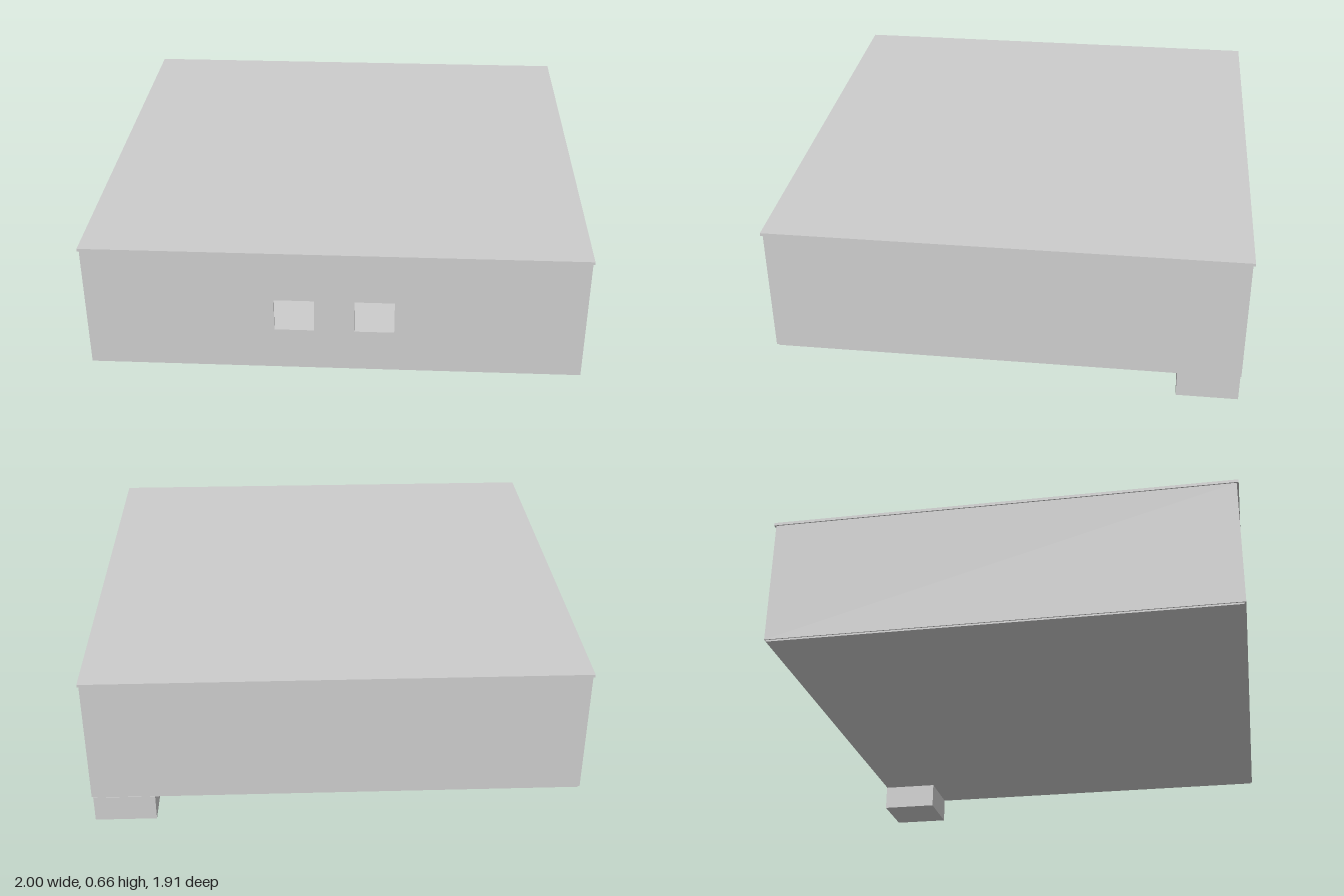
import * as THREE from 'three';

export function createModel() {
  const model = new THREE.Group();
  const mat = new THREE.MeshStandardMaterial({ color: 0xcccccc, flatShading: true });
  const add = (name, geometry) => {
    const mesh = new THREE.Mesh(geometry, mat);
    mesh.name = name;
    model.add(mesh);
    return mesh;
  };
  // box given by its minimum and maximum corners
  const block = (name, [x0, y0, z0], [x1, y1, z1]) =>
    add(name, new THREE.BoxGeometry(x1 - x0, y1 - y0, z1 - z0))
      .position.set((x0 + x1) / 2, (y0 + y1) / 2, (z0 + z1) / 2);

  const X = 0.995, Z = 0.948, T = 0.01, BOTTOM = 0.118, TOP = 0.648;

  // roof slab with a slight overhang, and the floor
  block('roof', [-1, TOP, -0.956], [1, 0.66, 0.956]);
  block('floor', [-0.99, 0.111, -0.943], [0.99, 0.121, 0.94]);

  // side and back walls around the hollow inside
  for (const s of [-1, 1]) {
    const a = s * X, b = s * (X - T);
    block(s > 0 ? 'leftWall' : 'rightWall',
      [Math.min(a, b), BOTTOM, -Z], [Math.max(a, b), TOP, Z]);
  }
  block('backWall', [-X + T, BOTTOM, -Z], [X - T, TOP, -Z + T]);

  // front wall with two window openings
  const rect = (path, x0, y0, x1, y1) => {
    path.moveTo(x0, y0);
    path.lineTo(x1, y0);
    path.lineTo(x1, y1);
    path.lineTo(x0, y1);
    path.closePath();
    return path;
  };
  const front = rect(new THREE.Shape(), -X + T, BOTTOM, X - T, TOP);
  for (const x of [-0.24, 0.08]) {
    front.holes.push(rect(new THREE.Path(), x, 0.3, x + 0.16, 0.44));
  }
  add('frontWall', new THREE.ExtrudeGeometry(front, { depth: T, bevelEnabled: false }))
    .position.z = Z - T;

  // single block foot under the back corner
  block('foot', [0.74, 0, -0.945], [0.99, 0.112, -0.695]);

  return model;
}
